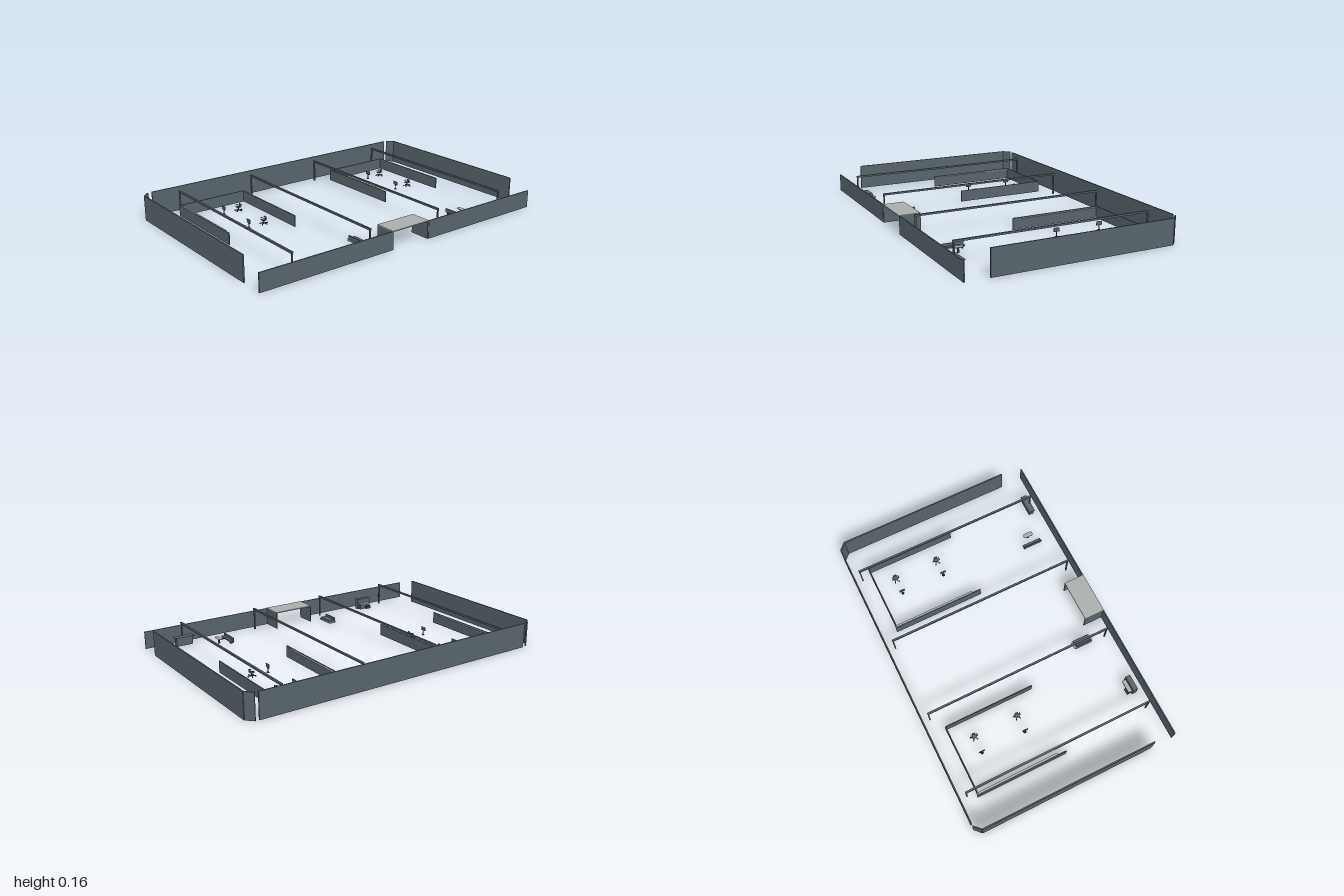
import * as THREE from 'three';

const slate = new THREE.MeshStandardMaterial({ name: 'slate panel', color: 0x56646b });
const pale = new THREE.MeshStandardMaterial({ name: 'pale grey', color: 0xa9afac });
const dark = new THREE.MeshStandardMaterial({ name: 'dark metal', color: 0x363d41 });

export function createModel() {
  const model = new THREE.Group();
  model.name = 'boothFloor';

  // Box given by its min and max on each axis
  function box(name, mat, x0, x1, y0, y1, z0, z1, parent = model) {
    const m = new THREE.Mesh(new THREE.BoxGeometry(x1 - x0, y1 - y0, z1 - z0), mat);
    m.position.set((x0 + x1) / 2, (y0 + y1) / 2, (z0 + z1) / 2);
    m.name = name;
    parent.add(m);
    return m;
  }

  // Flat slab with rounded ends, seen from above
  function slab(name, mat, x, y, z, w, d, h, r) {
    const s = new THREE.Shape();
    const a = w / 2 - r, b = d / 2 - r;
    s.absarc(a, b, r, 0, Math.PI / 2);
    s.absarc(-a, b, r, Math.PI / 2, Math.PI);
    s.absarc(-a, -b, r, Math.PI, Math.PI * 1.5);
    s.absarc(a, -b, r, Math.PI * 1.5, Math.PI * 2);
    const g = new THREE.ExtrudeGeometry(s, { depth: h, bevelEnabled: false, curveSegments: 8 });
    g.rotateX(-Math.PI / 2);
    const m = new THREE.Mesh(g, mat);
    m.position.set(x, y, z);
    m.name = name;
    model.add(m);
  }

  function rod(name, mat, r0, r1, h, x, y, z, parent) {
    const m = new THREE.Mesh(new THREE.CylinderGeometry(r1, r0, h, 12), mat);
    m.position.set(x, y + h / 2, z);
    m.name = name;
    parent.add(m);
  }

  // Tall outer walls with cut corners
  const H = 0.155;
  box('leftWall', slate, -0.656, -0.648, 0, H, -0.935, 0.93);
  for (const s of [-1, 1]) {
    const z = s * 0.996;
    box('endWall', slate, -0.612, 0.505, 0, H, z - 0.004, z + 0.004);
    const corner = box('cornerWall', slate, -0.028, 0.028, 0, H, -0.004, 0.004);
    corner.position.set(-0.632, H / 2, s * 0.975);
    corner.rotation.y = -s * Math.PI / 4;
  }

  // Low wall, open in the middle under a covered passage
  box('lowWall', slate, 0.645, 0.652, 0, 0.11, -1, -0.14);
  box('lowWall', slate, 0.645, 0.652, 0, 0.11, 0.13, 1);
  box('passageSide', slate, 0.52, 0.65, 0, 0.108, -0.14, -0.134);
  box('passageSide', slate, 0.52, 0.65, 0, 0.108, 0.124, 0.13);
  box('passageRoof', pale, 0.52, 0.652, 0.106, 0.112, -0.14, 0.13);

  // Overhead rails carried by a post at each end
  for (const z of [-0.775, -0.26, 0.252, 0.768]) {
    box('rail', slate, -0.608, 0.605, 0.132, 0.143, z - 0.006, z + 0.006);
    for (const x of [-0.603, 0.6])
      box('post', slate, x - 0.004, x + 0.004, 0, 0.133, z - 0.004, z + 0.004);
  }

  // Two three-sided enclosures
  for (const z of [-0.807, 0.349]) {
    const h = 0.072, z2 = z + 0.448;
    box('enclosurePanel', slate, -0.543, 0.035, 0, h, z, z + 0.006);
    box('enclosureEnd', slate, -0.545, -0.538, 0, h, z, z2);
    box('enclosurePanel', slate, -0.55, 0.035, 0, h, z2, z2 + 0.006);
    box('enclosureLedge', pale, -0.55, -0.02, h - 0.008, h - 0.003, z2 - 0.011, z2);
  }

  // Swivel chair on a five-armed base
  function chair(x, z) {
    const g = new THREE.Group();
    g.name = 'chair';
    g.position.set(x, 0, z);
    for (let i = 0; i < 5; i++) {
      const arm = new THREE.Group();
      arm.rotation.y = i * Math.PI * 0.4 + Math.PI / 2;
      box('baseArm', dark, 0, 0.024, 0.003, 0.007, -0.002, 0.002, arm);
      box('caster', dark, 0.02, 0.026, 0, 0.005, -0.003, 0.003, arm);
      g.add(arm);
    }
    rod('stem', dark, 0.003, 0.003, 0.02, 0, 0.004, 0, g);
    box('seat', slate, -0.013, 0.013, 0.023, 0.028, -0.011, 0.013, g);
    box('backrest', slate, -0.011, 0.011, 0.029, 0.045, -0.014, -0.011, g);
    for (const s of [-1, 1])
      box('armrest', dark, s * 0.018 - 0.002, s * 0.018 + 0.002, 0.034, 0.037, -0.01, 0.009, g);
    model.add(g);
  }

  // Small screen on a slim stand
  function screen(x, z) {
    const g = new THREE.Group();
    g.name = 'screenStand';
    g.position.set(x, 0, z);
    rod('foot', dark, 0.01, 0.008, 0.003, 0, 0, 0, g);
    rod('pole', dark, 0.003, 0.003, 0.034, 0, 0.002, 0, g);
    box('screen', slate, -0.018, 0.018, 0.03, 0.053, -0.002, 0.002, g);
    model.add(g);
  }

  for (const x of [-0.41, -0.123]) {
    chair(x, -0.685);
    chair(x, 0.47);
    screen(x, -0.58);
    screen(x, 0.575);
  }

  // Corner console
  box('consoleBody', slate, 0.57, 0.602, 0, 0.05, -0.825, -0.72);
  box('consoleTop', slate, 0.565, 0.605, 0.05, 0.056, -0.836, -0.71);

  // Bench and oval table
  box('benchSeat', slate, 0.424, 0.55, 0.012, 0.02, -0.532, -0.506);
  box('benchBack', slate, 0.424, 0.55, 0.02, 0.036, -0.512, -0.506);
  for (const x of [0.434, 0.534])
    box('benchLeg', dark, x, x + 0.006, 0, 0.012, -0.53, -0.508);
  slab('ovalTableTop', pale, 0.487, 0.03, -0.58, 0.066, 0.03, 0.004, 0.014);
  rod('ovalTableLeg', dark, 0.008, 0.004, 0.03, 0.487, 0, -0.58, model);

  // Lounge seat on a rounded base
  slab('loungeBase', pale, 0.456, 0.006, 0.223, 0.126, 0.054, 0.008, 0.014);
  box('loungeSeat', slate, 0.406, 0.507, 0.014, 0.024, 0.2, 0.246);
  box('loungeBack', slate, 0.406, 0.507, 0.024, 0.038, 0.238, 0.246);
  for (const x of [0.41, 0.496])
    box('loungeFoot', dark, x, x + 0.007, 0, 0.006, 0.206, 0.24);

  // Stepped cabinet
  box('cabinet', slate, 0.57, 0.6, 0, 0.07, 0.557, 0.658);
  box('cabinetStep', slate, 0.554, 0.57, 0, 0.038, 0.567, 0.648);
  box('cabinetShelf', pale, 0.545, 0.57, 0.038, 0.042, 0.567, 0.648);
  box('cabinetFoot', dark, 0.541, 0.554, 0, 0.018, 0.61, 0.648);

  return model;
}
